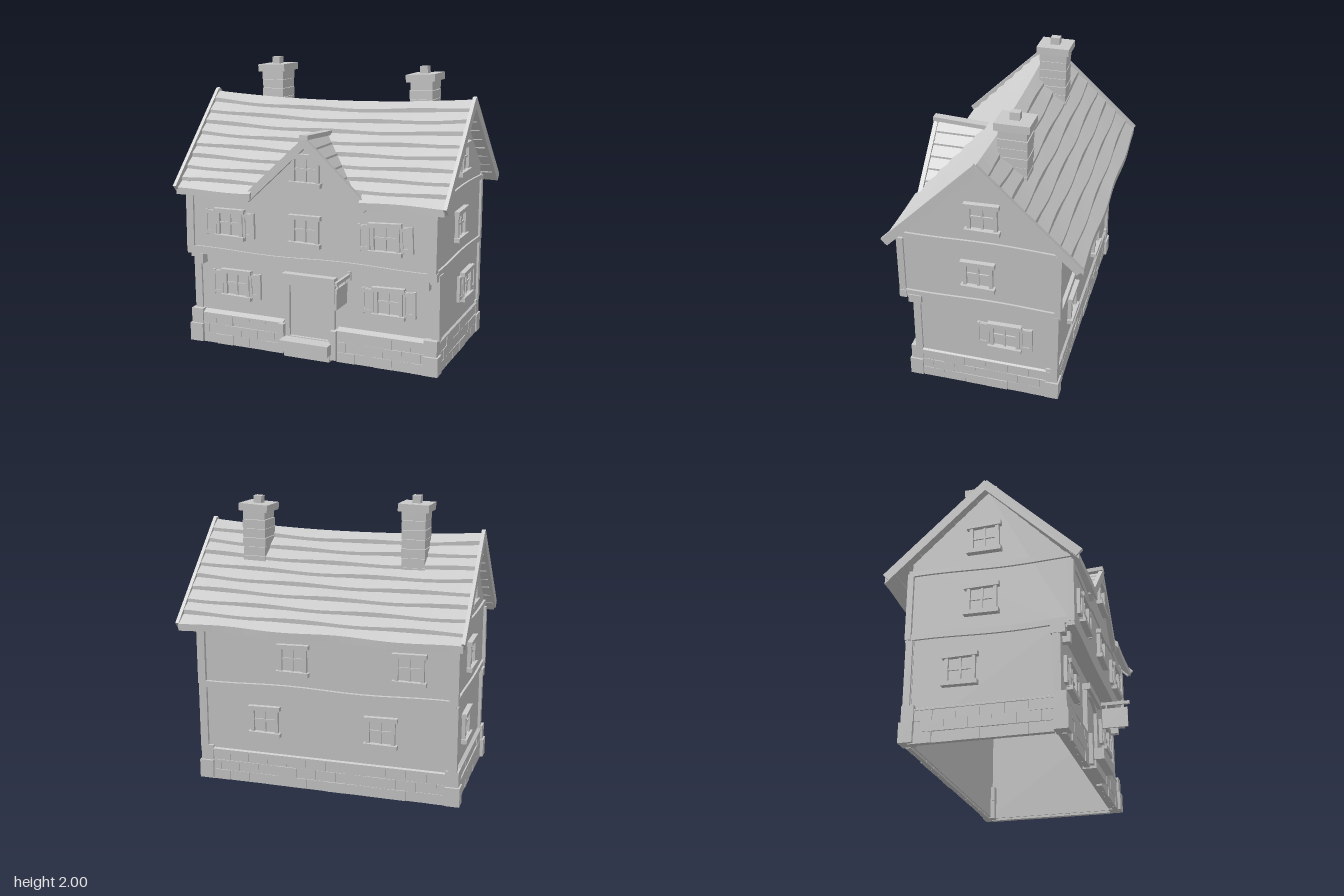
import * as THREE from 'three';

const plaster = new THREE.MeshStandardMaterial({ color: 0xcccccc, flatShading: true, side: THREE.DoubleSide });
plaster.name = 'pale grey';

let seed = 7;
const rand = () => (seed = (seed * 16807) % 2147483647) / 2147483647;

function add(parent, name, geometry) {
  const mesh = new THREE.Mesh(geometry, plaster);
  mesh.name = name;
  parent.add(mesh);
  return mesh;
}

// Box given by its limits on each axis
function span(parent, name, x0, x1, y0, y1, z0, z1, tilt = 0) {
  const mesh = add(parent, name, new THREE.BoxGeometry(x1 - x0, y1 - y0, z1 - z0));
  mesh.position.set((x0 + x1) / 2, (y0 + y1) / 2, (z0 + z1) / 2);
  mesh.rotation.z = tilt;
  return mesh;
}

// Straight board between two points
function board(parent, name, a, b, wx, wz) {
  const p = new THREE.Vector3(...a), q = new THREE.Vector3(...b);
  const dir = q.clone().sub(p);
  const mesh = add(parent, name, new THREE.BoxGeometry(wx, dir.length(), wz));
  mesh.position.copy(p).add(q).multiplyScalar(0.5);
  mesh.quaternion.setFromUnitVectors(new THREE.Vector3(0, 1, 0), dir.normalize());
}

// Long beam with a gentle wave
function wavyBeam(parent, name, length, h, d, x, y, z, turn = 0) {
  const g = new THREE.BoxGeometry(length, h, d, 14, 1, 1), p = g.attributes.position;
  for (let i = 0; i < p.count; i++) p.setY(i, p.getY(i) + 0.007 * Math.sin(p.getX(i) * 6 + x));
  const mesh = add(parent, name, g);
  mesh.position.set(x, y, z);
  mesh.rotation.y = turn;
}

// Solid through closed cross-sections, each counter-clockwise seen from the far end
function loft(sections) {
  const n = sections[0].length, last = (sections.length - 1) * n, index = [];
  for (let i = 0; i < sections.length - 1; i++)
    for (let j = 0; j < n; j++) {
      const a = i * n + j, b = i * n + (j + 1) % n;
      index.push(a, b, a + n, b, b + n, a + n);
    }
  for (let j = 1; j < n - 1; j++) index.push(0, j + 1, j, last, last + j, last + j + 1);
  const g = new THREE.BufferGeometry();
  g.setAttribute('position', new THREE.Float32BufferAttribute(sections.flat(2), 3));
  g.setIndex(index);
  const flat = g.toNonIndexed();
  flat.computeVertexNormals();
  return flat;
}

// Window on a wall facing local +z
function addWindow(parent, x, y, z, turn = 0, shutters = false, tilt = 0) {
  const w = new THREE.Group();
  w.name = 'window';
  w.position.set(x, y, z);
  w.rotation.set(0, turn, tilt);
  span(w, 'pane', -0.08, 0.08, -0.085, 0.085, -0.002, 0.004);
  span(w, 'lintel', -0.115, 0.115, 0.075, 0.105, 0, 0.035, 0.02);
  span(w, 'sill', -0.115, 0.115, -0.11, -0.08, 0, 0.04, -0.015);
  span(w, 'mullion', -0.007, 0.007, -0.08, 0.08, 0, 0.016);
  span(w, 'glazingBar', -0.08, 0.08, -0.004, 0.01, 0, 0.014);
  for (const s of [-1, 1]) {
    span(w, 'jamb', s * 0.087 - 0.012, s * 0.087 + 0.012, -0.085, 0.08, 0, 0.025);
    if (!shutters) continue;
    const c = s * 0.146;
    span(w, 'shutter', c - 0.042, c + 0.042, -0.085, 0.085, 0, 0.014, 0.02 * s);
    for (const e of [-1, 1]) {
      span(w, 'shutterStile', c + e * 0.034 - 0.009, c + e * 0.034 + 0.009, -0.09, 0.09, 0, 0.022, 0.02 * s);
      span(w, 'shutterRail', c - 0.04, c + 0.04, e * 0.07 - 0.012, e * 0.07 + 0.012, 0, 0.02, 0.02 * s);
    }
  }
  parent.add(w);
}

// Run of stone courses along local x, facing local +z, with a sloped coping
function stoneRun(parent, length, x, z, turn) {
  const run = new THREE.Group();
  run.name = 'stoneBase';
  run.position.set(x, 0, z);
  run.rotation.y = turn;
  for (let row = 0; row < 3; row++) {
    const n = Math.max(2, Math.round(length / 0.14)), step = length / n;
    for (let i = 0; i <= n; i++) {
      const a = Math.max(0, i - (row % 2) / 2) * step, b = Math.min(n, i + 1 - (row % 2) / 2) * step;
      if (b - a < 0.01) continue;
      span(run, 'stone', a - length / 2, b - length / 2 - 0.002, row * 0.072 + 0.004, row * 0.072 + 0.074, -0.03, rand() * 0.008);
    }
  }
  const h = length / 2;
  add(run, 'coping', loft([-h, h].map(u => [[u, 0.215, 0.008], [u, 0.215, -0.035], [u, 0.245, -0.035], [u, 0.226, 0.008]])));
  parent.add(run);
}

// Main roof: sagging ridge, straight eaves
const EAVE = { front: 0.61, back: -0.675 };
const ridgeY = x => 1.712 + 0.042 * x * x + 0.01 * x;
function roofRow(side, k, rows, x0, x1) {
  const zE = EAVE[side], sections = [], steps = Math.ceil((x1 - x0) * 12);
  for (let i = 0; i <= steps; i++) {
    const x = x0 + (x1 - x0) * i / steps;
    const at = (t, lift) => [x, ridgeY(x) + (1.115 + 0.01 * x - ridgeY(x)) * t + lift, zE * t];
    const t0 = k / rows, t1 = (k + 1 + 0.07 * Math.sin(x * 8 + k * 2.3)) / rows;
    const ring = [at(t1, -0.015), at(t0, -0.02), at(t0, 0.008), at(t1, 0.032)];
    sections.push(side === 'front' ? ring : ring.reverse());
  }
  return loft(sections);
}

function chimney(parent, x, z, top, tilt) {
  const c = new THREE.Group();
  c.name = 'chimney';
  c.position.set(x, top, z);
  for (let i = 0; i < 8; i++) {
    const j = rand() * 0.006;
    span(c, 'brickCourse', -0.082 + j, 0.082 - j * 0.5, -0.062 * (i + 1), -0.062 * i - 0.003, -0.098 + j, 0.098 - j);
  }
  const head = new THREE.Group();
  head.name = 'chimneyHead';
  head.rotation.z = tilt;
  span(head, 'chimneyCap', -0.103, 0.103, -0.005, 0.045, -0.115, 0.115);
  span(head, 'chimneyPot', -0.028, 0.028, 0.04, 0.095, -0.032, 0.032);
  c.add(head);
  parent.add(c);
}

export function createModel() {
  const house = new THREE.Group();
  house.name = 'cottage';
  const Q = Math.PI / 2;

  // Hollow walls
  span(house, 'lowerFrontWall', -0.9, 0.88, 0.02, 0.7, 0.425, 0.455);
  span(house, 'lowerBackWall', -0.9, 0.88, 0.02, 0.7, -0.5, -0.47);
  span(house, 'upperFrontWall', -0.89, 0.88, 0.68, 1.13, 0.515, 0.545);
  span(house, 'upperBackWall', -0.89, 0.88, 0.68, 1.24, -0.505, -0.475);
  span(house, 'jettyFloor', -0.89, 0.88, 0.675, 0.695, 0.43, 0.545);
  const gable = new THREE.Shape([[-0.545, 0.68], [0.505, 0.68], [0.505, 1.25], [0, 1.72], [-0.545, 1.16]].map(p => new THREE.Vector2(...p)));
  for (const x of [-0.895, 0.855]) {
    span(house, 'lowerSideWall', x, x + 0.03, 0.02, 0.7, -0.5, 0.455);
    const wall = add(house, 'gableWall', new THREE.ExtrudeGeometry(gable, { depth: 0.03, bevelEnabled: false }));
    wall.rotation.y = Q;
    wall.position.x = x;
  }

  // Timber frame
  for (const x of [-0.888, 0.873]) {
    const a = x - 0.028, b = x + 0.028;
    span(house, 'lowerFrontPost', a, b, 0.24, 0.68, 0.42, 0.47, 0.008);
    span(house, 'lowerBackPost', a, b, 0.24, 0.69, -0.52, -0.475);
    span(house, 'upperFrontPost', a, b, 0.7, 1.13, 0.515, 0.56, -0.008);
    span(house, 'upperBackPost', a, b, 0.7, 1.17, -0.53, -0.49);
    span(house, 'postHead', a - 0.006, b + 0.006, 0.63, 0.69, 0.41, 0.5);
    const inner = x < 0 ? -0.84 : 0.82;
    span(house, 'corbel', inner - 0.022, inner + 0.022, 0.59, 0.66, 0.45, 0.52);
    const side = x < 0 ? -0.895 : 0.885;
    wavyBeam(house, 'sideFloorBeam', 1.06, 0.04, 0.03, side, 0.71, 0.015, Q);
    wavyBeam(house, 'sideEaveBeam', 1.06, 0.035, 0.03, side, 1.165, 0.02, Q);
  }
  wavyBeam(house, 'frontFloorBeam', 1.82, 0.055, 0.05, -0.005, 0.695, 0.535);
  wavyBeam(house, 'frontEaveBeam', 1.78, 0.04, 0.03, -0.005, 1.115, 0.54);
  wavyBeam(house, 'backFloorBeam', 1.8, 0.045, 0.04, -0.005, 0.705, -0.51);
  wavyBeam(house, 'backEaveBeam', 1.8, 0.04, 0.03, -0.005, 1.17, -0.51);

  // Stone base and corner stones
  stoneRun(house, 0.65, -0.54, 0.488, 0);
  stoneRun(house, 0.66, 0.52, 0.488, 0);
  stoneRun(house, 1.68, -0.015, -0.508, Math.PI);
  stoneRun(house, 0.9, 0.892, -0.025, Q);
  stoneRun(house, 0.9, -0.912, -0.025, -Q);
  for (const [x, dx] of [[-0.94, 0.1], [0.908, -0.1]])
    for (const [z, dz] of [[0.515, -0.09], [-0.53, 0.09]])
      for (const [y0, y1, inset] of [[0.01, 0.14, 0], [0.143, 0.25, 0.01]]) {
        const xa = x + Math.sign(dx) * inset, za = z + Math.sign(dz) * inset;
        span(house, 'cornerStone', Math.min(xa, x + dx), Math.max(xa, x + dx), y0, y1, Math.min(za, z + dz), Math.max(za, z + dz));
      }

  // Doorway with arched surround and steps
  span(house, 'door', -0.17, 0.13, 0.13, 0.55, 0.44, 0.463);
  const surround = new THREE.Shape([[-0.205, 0.13], [0.17, 0.13], [0.17, 0.55], [-0.205, 0.55]].map(p => new THREE.Vector2(...p)));
  const arch = new THREE.Path();
  arch.moveTo(-0.165, 0.14).lineTo(-0.165, 0.5).quadraticCurveTo(-0.02, 0.585, 0.125, 0.5).lineTo(0.125, 0.14);
  surround.holes.push(arch);
  add(house, 'doorSurround', new THREE.ExtrudeGeometry(surround, { depth: 0.045, bevelEnabled: false })).position.z = 0.44;
  span(house, 'doorLintel', -0.21, 0.178, 0.545, 0.588, 0.44, 0.51);
  span(house, 'doorStep', -0.2, 0.16, 0.06, 0.135, 0.44, 0.585);
  span(house, 'lowerStep', -0.19, 0.15, 0.005, 0.06, 0.44, 0.53);
  span(house, 'leftStepCheek', 0.15, 0.192, 0.02, 0.225, 0.44, 0.52);
  span(house, 'rightStepCheek', -0.238, -0.198, 0.02, 0.225, 0.44, 0.52);

  // Windows: front, back, sides
  addWindow(house, -0.58, 0.455, 0.455, 0, true, -0.01);
  addWindow(house, 0.55, 0.46, 0.455, 0, true, 0.015);
  addWindow(house, -0.575, 0.91, 0.545, 0, true, -0.01);
  addWindow(house, 0.555, 0.915, 0.545, 0, true, 0.03);
  addWindow(house, -0.01, 0.915, 0.545, 0, false, -0.01);
  addWindow(house, 0, 1.325, 0.555);
  for (const [x, y] of [[0.21, 0.92], [-0.59, 0.92], [0.42, 0.47], [-0.4, 0.47]]) addWindow(house, x, y, y > 0.6 ? -0.505 : -0.5, Math.PI);
  for (const s of [-1, 1]) {
    const x = s > 0 ? 0.885 : -0.895;
    addWindow(house, x, 1.37, -0.02, s * Q, false, 0.02);
    addWindow(house, x, 0.93, s > 0 ? 0.015 : -0.03, s * Q);
    addWindow(house, x, 0.465, -0.16, s * Q, s > 0);
  }

  // Main roof rows; the lowest front row stops either side of the dormer
  const ROWS = 9;
  for (let k = 0; k < ROWS; k++) {
    add(house, 'backRoofRow', roofRow('back', k, ROWS, -0.96, 0.96));
    const runs = k === ROWS - 1 ? [[-0.96, -0.39], [0.39, 0.96]] : [[-0.96, 0.96]];
    for (const [a, b] of runs) add(house, 'frontRoofRow', roofRow('front', k, ROWS, a, b));
  }
  for (const x of [-0.958, 0.965]) {
    const top = x > 0 ? 1.765 : 1.75;
    board(house, 'bargeBoard', [x, top, -0.015], [x * 1.003, 1.135, 0.61], 0.024, 0.06);
    board(house, 'bargeBoard', [x, top, 0.01], [x * 1.003, 1.135, -0.66], 0.024, 0.06);
  }

  // Dormer: gable, roof rows running back into the main roof, boards, ridge
  const face = new THREE.Shape([[-0.41, 1.08], [0.41, 1.08], [0, 1.51]].map(p => new THREE.Vector2(...p)));
  add(house, 'dormerGable', new THREE.ExtrudeGeometry(face, { depth: 0.02, bevelEnabled: false })).position.z = 0.535;
  for (const s of [-1, 1]) {
    for (let k = 0; k < 6; k++) {
      const at = (t, lift) => [s * 0.385 * t, 1.515 - 0.375 * t + lift];
      const profile = [at(k / 6, -0.02), at((k + 1) / 6, -0.02), at((k + 1) / 6, 0.018), at(k / 6, 0.004)];
      if (s < 0) profile.reverse();
      const back = profile.map(([x, y]) => [x, y, Math.min(0.56, (1.7 - y) * 1.02 - 0.03)]);
      add(house, 'dormerRoofRow', loft([back, profile.map(([x, y]) => [x, y, 0.575])]));
    }
    board(house, 'dormerBargeBoard', [s * -0.01, 1.515, 0.575], [s * 0.435, 1.1, 0.575], 0.055, 0.03);
  }
  board(house, 'dormerRidge', [0, 1.52, 0.15], [0, 1.542, 0.592], 0.06, 0.03);

  // Chimneys
  chimney(house, -0.535, -0.138, 1.905, 0.035);
  chimney(house, 0.577, -0.148, 1.87, 0.06);

  // Hanging sign board, left blank
  span(house, 'signArm', 0.26, 0.278, 0.605, 0.628, 0.45, 0.695);
  span(house, 'signPlate', 0.258, 0.28, 0.58, 0.64, 0.45, 0.47);
  span(house, 'signBoard', 0.257, 0.269, 0.435, 0.58, 0.5, 0.68, -0.03);
  for (const z of [0.53, 0.65]) span(house, 'signHanger', 0.264, 0.27, 0.57, 0.61, z - 0.004, z + 0.004);

  return house;
}
